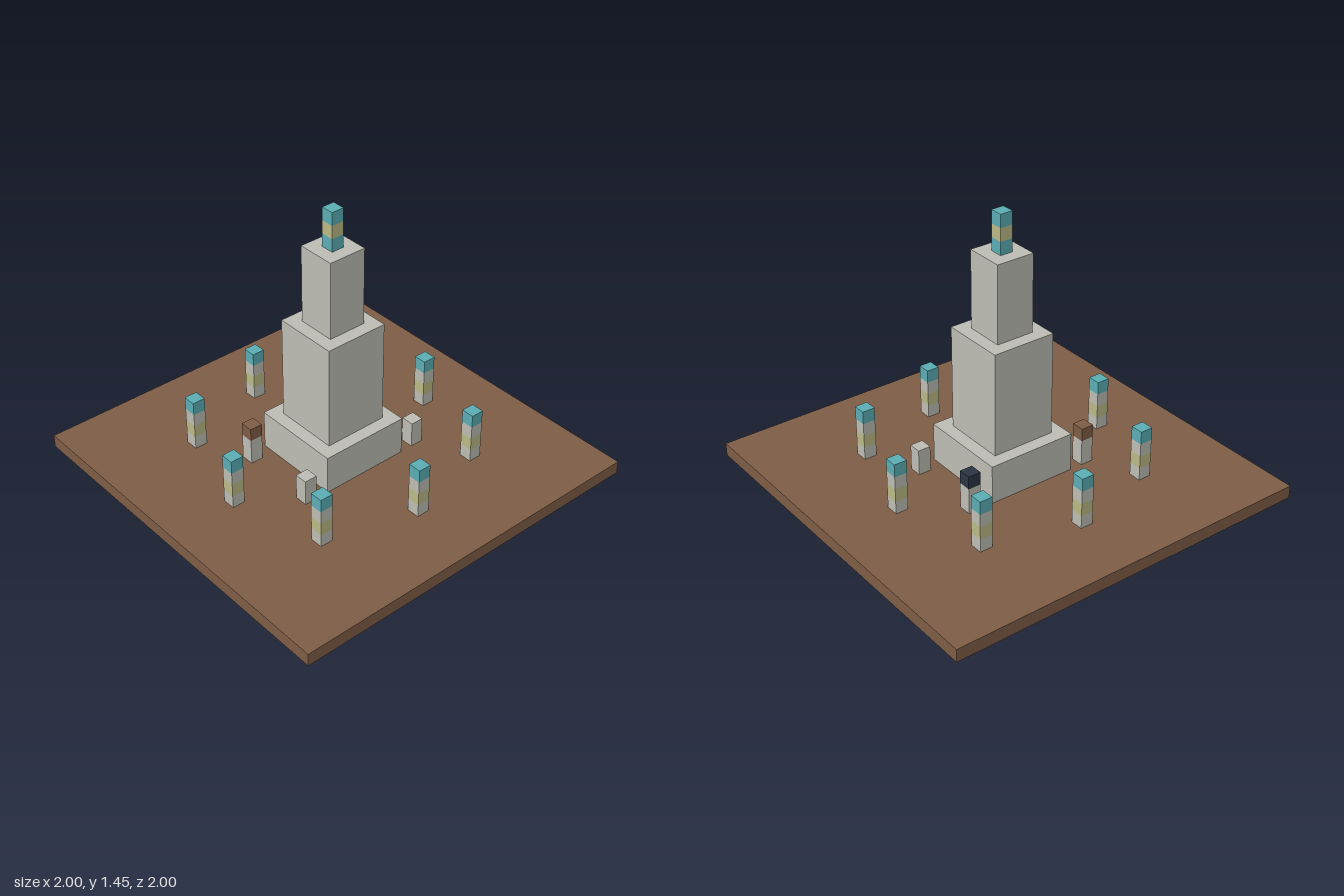
import * as THREE from 'three';

const U = 2 / 29; // one block

function material(name, color) {
  const m = new THREE.MeshStandardMaterial({ color });
  m.name = name;
  return m;
}

export function createModel() {
  const model = new THREE.Group();
  model.name = 'towerPlaza';
  const earth = material('earthBrown', 0x7d5c45);
  const stone = material('paleStone', 0xbcbcb3);
  const teal = material('teal', 0x5aacb3);
  const yellow = material('mutedYellow', 0xb9b985);
  const navy = material('darkNavy', 0x2b3444);

  // Box sized in blocks, standing on level y
  function block(parent, name, mat, width, height, y, x = 0, z = 0) {
    const mesh = new THREE.Mesh(new THREE.BoxGeometry(width * U, height * U, width * U), mat);
    mesh.position.set(x * U, (y + height / 2) * U, z * U);
    mesh.name = name;
    parent.add(mesh);
  }

  // Column of single blocks, listed from the bottom up
  function column(name, mats, x, y, z) {
    const group = new THREE.Group();
    group.name = name;
    mats.forEach((mat, i) => block(group, name + 'Block', mat, 1, 1, y + i, x, z));
    model.add(group);
  }

  // Ground slab and stepped tower
  block(model, 'ground', earth, 29, 1, 0);
  block(model, 'lowerTier', stone, 7, 3, 1);
  block(model, 'middleTier', stone, 5, 8, 4);
  block(model, 'upperTier', stone, 3, 6, 12);
  column('spire', [teal, yellow, teal], 0, 18, 0);

  // Ring of eight lamp pillars
  for (let i = 0; i < 8; i++) {
    const a = (i * Math.PI) / 4;
    const x = Math.round(9 * Math.cos(a) + Math.sign(Math.round(Math.cos(a) * 10)) * (i % 2 ? 0.64 : 0));
    const z = Math.round(9 * Math.sin(a) + Math.sign(Math.round(Math.sin(a) * 10)) * (i % 2 ? 0.64 : 0));
    column('lampPillar', [stone, yellow, stone, teal], x, 1, z);
  }

  // Four short posts, the back pair capped
  for (const x of [-5, 5]) {
    column('frontPost', [stone, stone], x, 1, 3);
    column('backPost', [stone, stone, x < 0 ? earth : navy], x, 1, -3);
  }
  return model;
}
